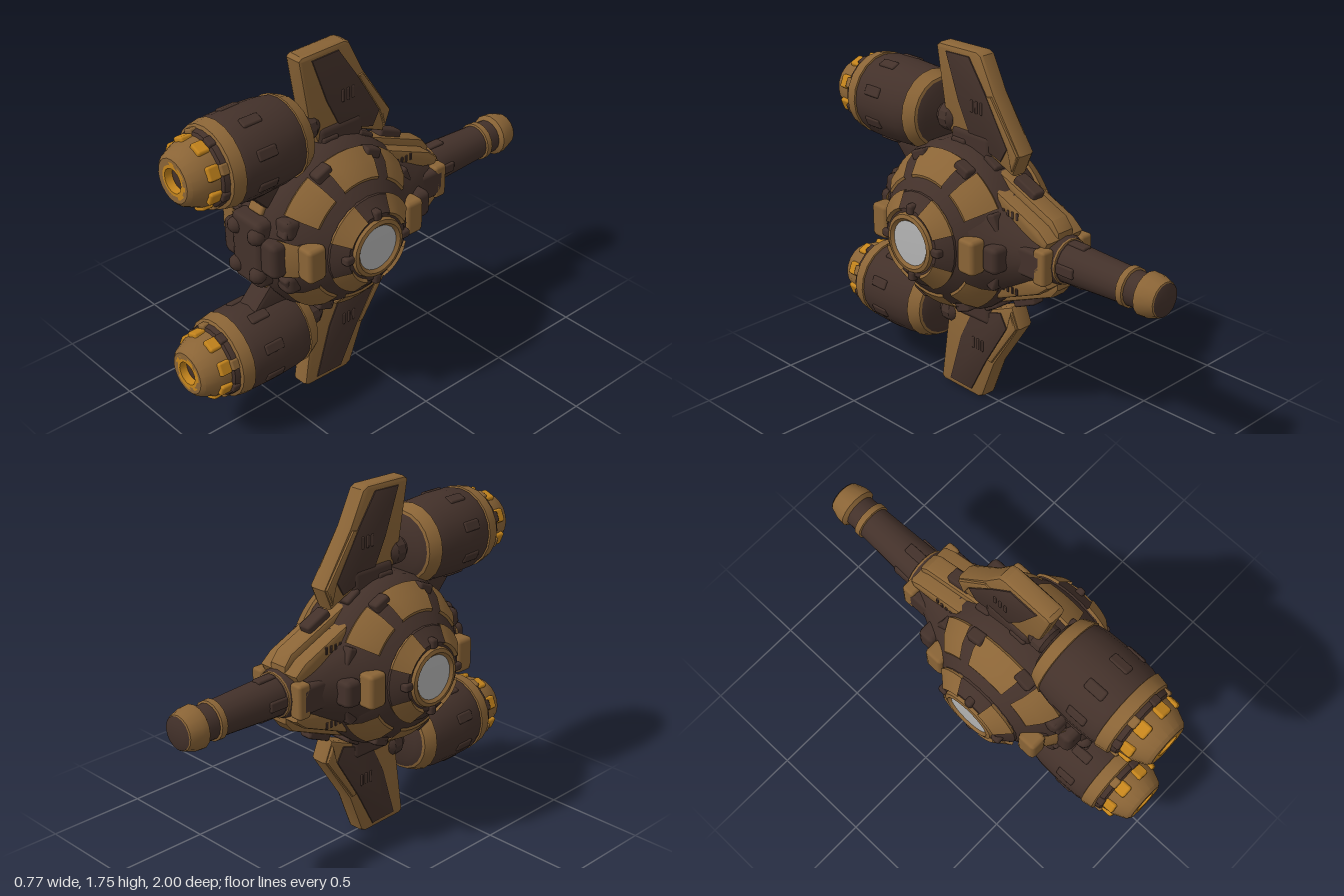
import * as THREE from 'three';
import { toCreasedNormals } from 'three/addons/utils/BufferGeometryUtils.js';
import { RoundedBoxGeometry } from 'three/addons/geometries/RoundedBoxGeometry.js';

const mat = (name, color) => {
  const m = new THREE.MeshStandardMaterial({ color, side: THREE.DoubleSide });
  m.name = name;
  return m;
};
const D = Math.PI / 180;

export function createModel() {
  const dark = mat('dark brown', 0x43312a);
  const tan = mat('tan', 0x8a6436);
  const gold = mat('gold', 0xc4841c);
  const glass = mat('pale grey', 0xb4b4b4);

  const add = (parent, name, geo, material) => {
    const m = new THREE.Mesh(geo, material);
    m.name = name;
    parent.add(m);
    return m;
  };
  const group = (parent, name) => {
    const g = new THREE.Group();
    g.name = name;
    parent.add(g);
    return g;
  };
  // profile points are [position along axis, radius], ascending
  const lathe = (pts, segs = 24, start = 0, len = Math.PI * 2) =>
    toCreasedNormals(new THREE.LatheGeometry(pts.map(([a, r]) => new THREE.Vector2(r, a)), segs, start, len), 0.5);
  const latheX = (...a) => lathe(...a).rotateZ(-Math.PI / 2);
  const latheZ = (...a) => lathe(...a).rotateX(Math.PI / 2);
  const box = (parent, name, size, pos, material, round = 0.012) => {
    const m = add(parent, name, new RoundedBoxGeometry(...size, 1, round), material);
    m.position.set(...pos);
    return m;
  };
  // outline of [z, y] points, thickness along x
  const slab = (pts, thick, bevel) => {
    const shape = new THREE.Shape(pts.map(([z, y]) => new THREE.Vector2(z, y)));
    const geo = new THREE.ExtrudeGeometry(shape, {
      depth: thick - 2 * bevel, bevelEnabled: bevel > 0, bevelThickness: bevel,
      bevelSize: bevel, bevelOffset: -bevel, bevelSegments: 2,
    });
    geo.translate(0, 0, bevel - thick / 2).rotateY(-Math.PI / 2);
    return toCreasedNormals(geo, 0.6);
  };

  const root = new THREE.Group();
  root.name = 'spacecraft';
  const ship = group(root, 'ship');
  ship.position.y = 0.91;

  // Round hull, turned about the x axis
  const hull = group(ship, 'hull');
  hull.position.z = 0.2;
  const half = [[0.08, 0.415], [0.13, 0.39], [0.2, 0.345], [0.27, 0.275], [0.32, 0.2], [0.33, 0]];
  add(hull, 'hullShell', latheX([...half.map(([x, r]) => [-x, r]).reverse(), ...half], 32), dark);

  // Side of the hull: armour plates, hub and round window
  for (const s of [1, -1]) {
    const side = group(hull, s > 0 ? 'leftSide' : 'rightSide');
    if (s < 0) side.rotation.y = Math.PI;
    for (let i = 0; i < 8; i++) {
      const w = (i % 4 === 2 ? 20 : 14) * D;
      add(side, 'armourPlate', latheX(
        [[0.13, 0.385], [0.145, 0.395], [0.215, 0.352], [0.265, 0.295], [0.262, 0.28]],
        5, i * 45 * D - w, 2 * w), tan);
    }
    add(side, 'hub', latheX([[0.27, 0.235], [0.31, 0.23], [0.34, 0.195], [0.365, 0.165], [0.365, 0.1]]), dark);
    for (let i = 0; i < 4; i++) {
      add(side, 'hubPlate', latheX(
        [[0.305, 0.235], [0.318, 0.24], [0.35, 0.2], [0.378, 0.168], [0.365, 0.155]],
        6, (45 + i * 90 - 23) * D, 46 * D), tan);
    }
    add(side, 'windowRing', latheX([[0.36, 0.148], [0.38, 0.14], [0.385, 0.122], [0.372, 0.108]]), tan);
    add(side, 'window', latheX([[0.372, 0.114], [0.376, 0]]), glass);
    for (let i = 0; i < 4; i++) {
      const arm = group(side, 'windowClamp');
      arm.rotation.x = i * 90 * D;
      box(arm, 'clamp', [0.05, 0.05, 0.04], [0.355, 0.165, 0], dark);
    }
    // Fore and aft clasps
    box(side, 'clasp', [0.09, 0.17, 0.1], [0.265, 0, 0.29], tan, 0.02);
    box(side, 'clasp', [0.09, 0.17, 0.1], [0.265, 0, -0.29], tan, 0.02);
    // Small studs round the rim
    for (let i = 0; i < 8; i++) {
      const stud = group(side, 'rimStud');
      stud.rotation.x = (22.5 + i * 45) * D;
      box(stud, 'stud', [0.06, 0.05, 0.09], [0.16, 0.37, 0], dark);
    }
  }

  // Raised blocks along the centre ridge
  for (let a = -150; a <= 150; a += 30) {
    const ridge = group(hull, 'ridgeBlock');
    ridge.rotation.x = -a * D;
    const painted = Math.abs(a) === 30 || Math.abs(a) === 60;
    box(ridge, 'ridge', [painted ? 0.09 : 0.14, 0.09, 0.04], [0, 0, 0.412], painted ? tan : dark);
  }

  // Cross-shaped nose with four round bolts
  const nose = group(ship, 'nose');
  box(nose, 'noseUpright', [0.2, 0.34, 0.14], [0, 0, 0.58], dark, 0.03);
  box(nose, 'noseCrossbar', [0.36, 0.18, 0.14], [0, 0, 0.565], dark, 0.03);
  box(nose, 'noseArms', [0.6, 0.16, 0.09], [0, 0, 0.49], dark, 0.025);
  for (const x of [-0.07, 0.07]) for (const y of [-0.1, 0.1]) {
    add(nose, 'noseBolt', new THREE.SphereGeometry(0.04, 10, 8), dark).position.set(x, y, 0.64);
  }
  for (const x of [-0.15, 0.15]) for (const y of [-0.14, 0.14]) {
    box(nose, 'noseCorner', [0.1, 0.1, 0.12], [x, y, 0.51], dark, 0.03);
  }

  // Engine, strut and fin, above and below; tip lengthens the fin
  const makeWing = (name, tip) => {
    const wing = group(ship, name);
    const engine = group(wing, 'engine');
    engine.position.y = 0.497;
    const part = (n, pts, m) => add(engine, n, latheZ(pts, 20), m);
    part('engineBack', [[0.355, 0], [0.36, 0.12], [0.38, 0.16]], dark);
    part('rearBand', [[0.375, 0.155], [0.38, 0.168], [0.44, 0.194], [0.445, 0.18]], tan);
    part('engineBarrel', [[0.43, 0.185], [0.5, 0.198], [0.62, 0.203], [0.74, 0.2], [0.775, 0.19]], dark);
    part('frontBand', [[0.765, 0.185], [0.77, 0.2], [0.83, 0.19], [0.838, 0.17]], tan);
    part('nozzleCollar', [[0.83, 0.176], [0.86, 0.168], [0.87, 0.15]], dark);
    part('nozzle', [[0.86, 0.155], [0.92, 0.147], [0.985, 0.118], [1, 0.1], [1, 0.07]], tan);
    part('nozzleRim', [[0.985, 0.088], [1, 0.085], [1, 0.056], [0.965, 0.05]], gold);
    part('nozzleBore', [[0.965, 0.055], [0.975, 0]], dark);
    for (let i = 0; i < 8; i++) {
      const spoke = group(engine, 'engineDetail');
      spoke.rotation.z = (i + 0.5) * 45 * D;
      box(spoke, 'goldTooth', [0.065, 0.035, 0.06], [0, 0.145, 0.895], gold, 0.01);
      box(spoke, 'barrelVent', [0.05, 0.02, 0.1], [0, 0.198, 0.65], dark, 0.009);
      box(spoke, 'collarLug', [0.05, 0.03, 0.04], [0, 0.163, 0.85], i % 2 ? dark : tan, 0.008);
    }

    // Strut to the hull and coupling to the fin
    add(wing, 'strut', slab([[0.4, 0.28], [0.56, 0.2], [0.68, 0.33], [0.6, 0.36], [0.5, 0.36]], 0.12, 0.02), dark);
    add(wing, 'coupling', latheZ([[0.24, 0], [0.25, 0.05], [0.28, 0.07], [0.33, 0.07], [0.345, 0.05], [0.38, 0.05]], 12), dark)
      .position.y = 0.497;
    box(wing, 'finRoot', [0.12, 0.16, 0.26], [0, 0.4, 0.13], dark, 0.03);

    add(wing, 'fin', slab([
      [0.36, 0.835 + tip], [0.34, 0.85 + tip], [0.1, 0.855 + tip], [0.07, 0.84 + tip], [-0.01, 0.68],
      [-0.175, 0.43], [-0.13, 0.325], [0.02, 0.39], [0.26, 0.41], [0.31, 0.54],
    ], 0.094, 0.018), tan);
    add(wing, 'finPanel', slab([
      [0.29, 0.82 + tip], [0.14, 0.825 + tip], [0.04, 0.68], [-0.1, 0.45], [-0.06, 0.38], [0.13, 0.44], [0.21, 0.6],
    ], 0.106, 0.004), dark);
    add(wing, 'finTrim', slab([[0, 0.67], [-0.165, 0.43], [-0.13, 0.35], [-0.1, 0.45], [0.03, 0.665]], 0.112, 0.01), tan);
    for (const z of [0.06, 0.09, 0.12]) box(wing, 'finVent', [0.118, 0.06, 0.015], [0, 0.6, z], dark, 0.005);
    return wing;
  };
  makeWing('upperWing', 0);
  makeWing('lowerWing', 0.045).rotation.z = Math.PI;

  // Tail cowl that narrows to the boom
  const tail = group(ship, 'tail');
  add(tail, 'cowl', latheZ([[-0.46, 0.09], [-0.45, 0.105], [-0.3, 0.16], [-0.1, 0.26], [0.02, 0.33]], 16), dark);
  for (const s of [1, -1]) {
    add(tail, 'cowlSpine', slab(
      [[0, 0.35 * s], [-0.12, 0.3 * s], [-0.38, 0.19 * s], [-0.42, 0.14 * s], [-0.42, 0.05 * s], [0, 0.05 * s]], 0.1, 0.015), tan);
    add(tail, 'cowlPlate', slab(
      [[-0.1, 0.27 * s], [-0.36, 0.16 * s], [-0.42, 0.11 * s], [-0.4, 0.07 * s], [-0.1, 0.15 * s]], 0.24, 0.02), tan);
    box(tail, 'spineBlock', [0.07, 0.05, 0.14], [0, 0.28 * s, -0.19], dark).rotation.x = -0.42 * s;
    for (const t of [1, -1]) for (let i = 0; i < 4; i++) {
      box(tail, 'cowlVent', [0.01, 0.035, 0.014], [0.12 * t, 0.185 * s, -0.15 - i * 0.028], dark, 0.004);
    }
    // Side blocks
    box(tail, 'sideArm', [0.1, 0.14, 0.28], [0.11 * s, 0, -0.28], dark, 0.02);
    box(tail, 'sideArmEnd', [0.07, 0.17, 0.07], [0.125 * s, 0, -0.4], tan, 0.015);
    box(tail, 'sideLug', [0.12, 0.13, 0.09], [0.2 * s, 0, -0.19], dark, 0.025);
  }

  // Boom with bands and a domed end
  const boom = group(ship, 'boom');
  add(boom, 'boomTube', latheZ([[-0.92, 0.08], [-0.82, 0.083], [-0.55, 0.094], [-0.4, 0.1]], 16), dark);
  add(boom, 'rootBand', latheZ([[-0.455, 0.09], [-0.45, 0.108], [-0.42, 0.11], [-0.41, 0.09]], 16), tan);
  add(boom, 'middleBand', latheZ([[-0.825, 0.08], [-0.82, 0.093], [-0.79, 0.094], [-0.785, 0.08]], 16), tan);
  add(boom, 'endCap', latheZ([[-0.995, 0.06], [-0.985, 0.082], [-0.93, 0.1], [-0.895, 0.102], [-0.88, 0.08]], 16), tan);
  add(boom, 'endDome', latheZ([[-1, 0], [-1, 0.05], [-0.99, 0.078]], 16), dark);
  for (const a of [0, 90, 180, 270]) {
    const rib = group(boom, 'boomRib');
    rib.rotation.z = a * D;
    box(rib, 'rib', [0.05, 0.02, 0.1], [0, 0.093, -0.5], dark, 0.008);
  }
  return root;
}
